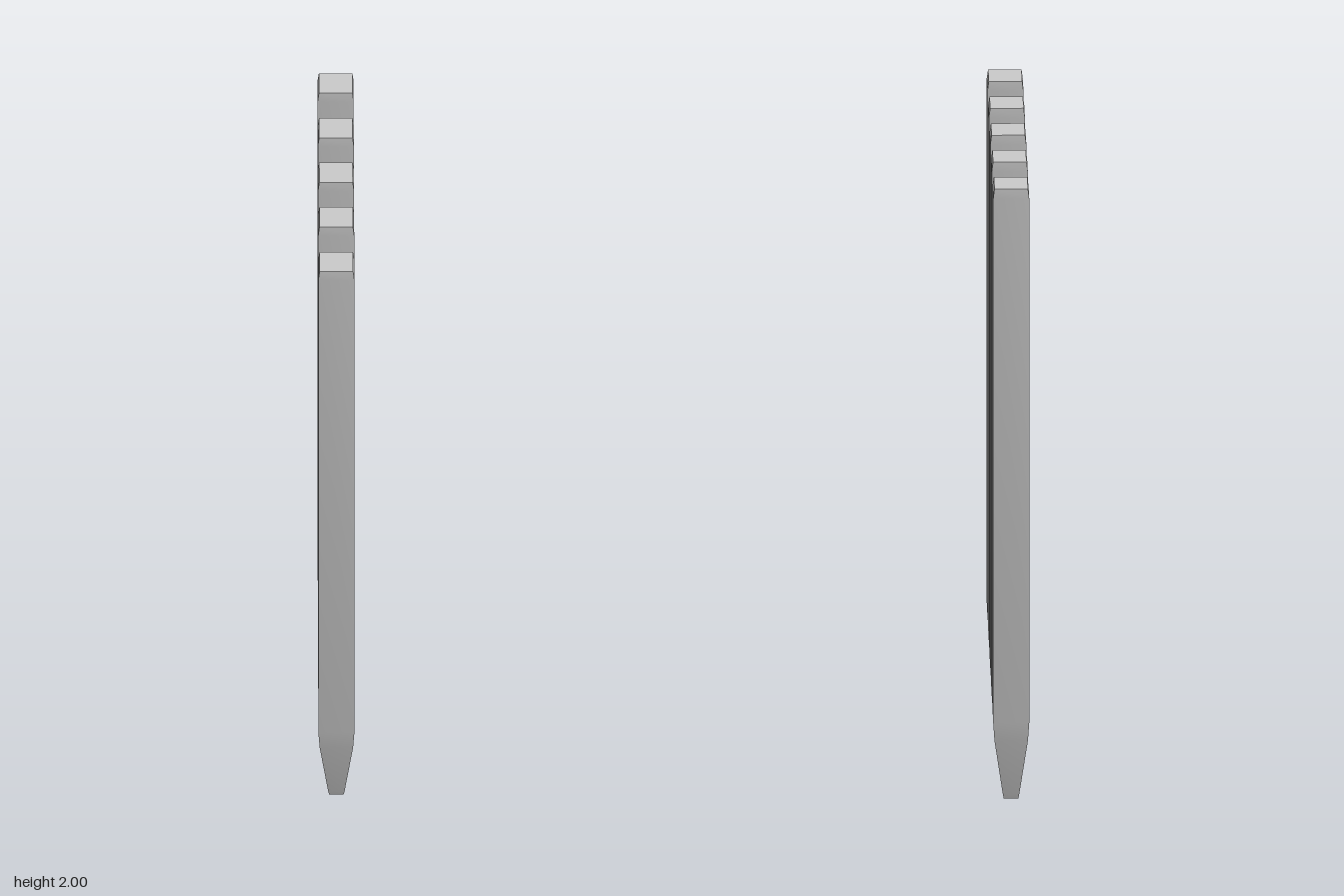
import * as THREE from 'three';
import { toCreasedNormals } from 'three/addons/utils/BufferGeometryUtils.js';

const HALF = 0.055;      // half width of a post
const SPACING = 0.2295;  // distance between post centres
const material = new THREE.MeshStandardMaterial({ color: 0xcccccc });

// Square post: [half width, height] sections from the blunt tip to the top
function postGeometry() {
  const sections = [
    [0, 0], [0.022, 0], [0.025, 0.015], [0.051, 0.2], [HALF, 0.26],
    [HALF, 1.97], [0.051, 2], [0, 2],
  ];
  const profile = sections.map(([h, y]) => new THREE.Vector2(h * Math.SQRT2, y));
  const lathe = new THREE.LatheGeometry(profile, 4, Math.PI / 4);
  return toCreasedNormals(lathe, Math.PI / 6);
}

export function createModel() {
  const model = new THREE.Group();
  model.name = 'gate';

  // Five pointed posts in a row along z
  const posts = new THREE.Group();
  posts.name = 'posts';
  const postGeo = postGeometry();
  for (let i = -2; i <= 2; i++) {
    const post = new THREE.Mesh(postGeo, material);
    post.name = 'post';
    post.position.z = i * SPACING;
    posts.add(post);
  }

  // Six flat crossbars running through all posts
  const bars = new THREE.Group();
  bars.name = 'crossbars';
  const barGeo = new THREE.BoxGeometry(0.03, 0.07, SPACING * 4);
  for (let i = 0; i < 6; i++) {
    const bar = new THREE.Mesh(barGeo, material);
    bar.name = 'crossbar';
    bar.position.y = 0.41 + i * 0.283;
    bars.add(bar);
  }

  model.add(posts, bars);
  return model;
}
